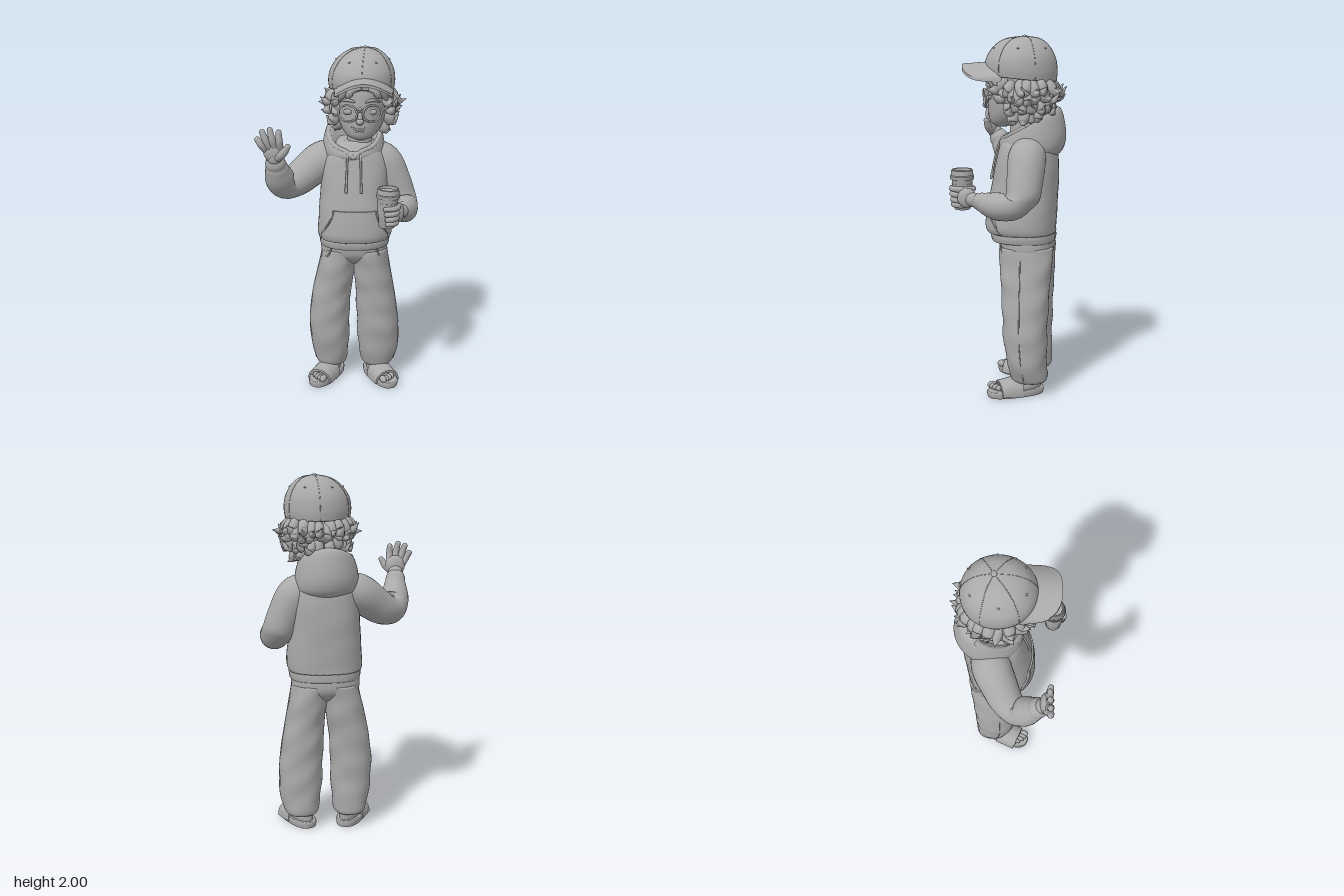
import * as THREE from 'three';
import { toCreasedNormals } from 'three/addons/utils/BufferGeometryUtils.js';

const V = (x, y, z) => new THREE.Vector3(x, y, z);
const clay = new THREE.MeshStandardMaterial({ color: 0xaaaaaa });
clay.name = 'clay grey';

// Skin a closed surface over rings of points, with both ends filled
function loft(rings) {
  const mid = r => { const c = r.reduce((s, p) => s.add(p), V(0, 0, 0)).divideScalar(r.length); return r.map(() => c); };
  const all = [mid(rings[0]), ...rings, mid(rings[rings.length - 1])];
  const n = rings[0].length, pos = [], idx = [];
  all.forEach(r => r.forEach(p => pos.push(p.x, p.y, p.z)));
  for (let i = 0; i < all.length - 1; i++) for (let j = 0; j < n; j++) {
    const a = i * n + j, c = i * n + (j + 1) % n;
    idx.push(a, a + n, c, a + n, c + n, c);
  }
  const g = new THREE.BufferGeometry();
  g.setAttribute('position', new THREE.Float32BufferAttribute(pos, 3));
  g.setIndex(idx);
  g.computeVertexNormals();
  return g;
}

// Catmull-Rom value at t (0..1) through rows of numbers
function rowAt(rows, t) {
  const m = rows.length - 1, i = Math.min(Math.floor(t * m), m - 1), f = t * m - i;
  const q = k => rows[Math.max(0, Math.min(m, k))];
  return rows[0].map((_, c) => {
    const [p0, p1, p2, p3] = [q(i - 1)[c], q(i)[c], q(i + 1)[c], q(i + 2)[c]];
    return p1 + 0.5 * f * (p2 - p0 + f * (2 * p0 - 5 * p1 + 4 * p2 - p3 + f * (3 * (p1 - p2) + p3 - p0)));
  });
}

// Stacked oval sections: rows of [y, centreX, centreZ, radiusX, radiusZ, forwardTilt]
function body(rows, { e = 2, steps = 30, seg = 40, fold = 0 } = {}) {
  const pw = v => Math.sign(v) * Math.pow(Math.abs(v), 2 / e), rings = [];
  for (let i = 0; i <= steps; i++) {
    const [y, cx, cz, rx, rz, tilt = 0] = rowAt(rows, i / steps);
    rings.push(Array.from({ length: seg }, (_, j) => {
      const a = j / seg * Math.PI * 2;
      const k = 1 + fold * Math.sin(y * 34 + 2.2 * Math.sin(a + cx * 9)) * Math.sin(a * 2 + y * 5);
      return V(cx + rx * k * pw(Math.cos(a)), y - tilt * Math.sin(a), cz + rz * k * pw(Math.sin(a)));
    }));
  }
  return loft(rings);
}

// Tapered tube along points of [x, y, z, radius], with rounded ends
function sweep(pts, steps = 14, seg = 10) {
  const curve = new THREE.CatmullRomCurve3(pts.map(p => V(p[0], p[1], p[2])));
  const fr = curve.computeFrenetFrames(steps, false), rings = [];
  const ring = (i, r, push) => {
    const c = curve.getPoint(i / steps).addScaledVector(fr.tangents[i], push);
    rings.push(Array.from({ length: seg }, (_, j) => {
      const a = -j / seg * Math.PI * 2;
      return c.clone().addScaledVector(fr.normals[i], r * Math.cos(a)).addScaledVector(fr.binormals[i], r * Math.sin(a));
    }));
  };
  const rad = i => Math.max(0.001, rowAt(pts.map(p => [p[3]]), i / steps)[0]);
  for (const k of [0.95, 0.6]) ring(0, rad(0) * Math.sqrt(1 - k * k), -rad(0) * k * 0.8);
  for (let i = 0; i <= steps; i++) ring(i, rad(i), 0);
  for (const k of [0.6, 0.95]) ring(steps, rad(steps) * Math.sqrt(1 - k * k), rad(steps) * k * 0.8);
  return loft(rings);
}

// Thin curved plate: f(u, v, layer), layer 1 is the outer face
function plate(f, nu = 28, nv = 10) {
  const rings = [];
  for (let i = 0; i <= nu; i++) {
    const r = [];
    for (let j = nv; j >= 0; j--) r.push(f(i / nu, j / nv, 1));
    for (let j = 0; j <= nv; j++) r.push(f(i / nu, j / nv, 0));
    rings.push(r);
  }
  return toCreasedNormals(loft(rings), 0.8);
}

export function createModel() {
  const model = new THREE.Group();
  let parent = model;
  const add = (name, geo) => { const m = new THREE.Mesh(geo, clay); m.name = name; parent.add(m); return m; };
  const group = name => { parent = new THREE.Group(); parent.name = name; model.add(parent); return parent; };
  const ball = (name, x, y, z, rx, ry, rz) => {
    const m = add(name, new THREE.SphereGeometry(1, 24, 16));
    m.position.set(x, y, z); m.scale.set(rx, ry, rz); return m;
  };
  let seed = 7;
  const rnd = () => (seed = (seed * 16807) % 2147483647) / 2147483647 - 0.5;

  // Sweatshirt
  group('sweatshirt');
  const torso = [[0.915, 0.09, -0.07, 0.205, 0.185], [0.96, 0.092, -0.063, 0.214, 0.192], [1.1, 0.09, -0.072, 0.203, 0.19],
    [1.22, 0.09, -0.085, 0.195, 0.182], [1.34, 0.09, -0.095, 0.19, 0.168], [1.42, 0.09, -0.1, 0.155, 0.15], [1.48, 0.09, -0.1, 0.09, 0.1]];
  add('torso', body(torso, { e: 2.4, fold: 0.006 }));
  add('hem', body([[0.868, 0.09, -0.075, 0.19, 0.168], [0.872, 0.09, -0.075, 0.198, 0.178], [0.9, 0.09, -0.072, 0.203, 0.182],
    [0.925, 0.09, -0.072, 0.2, 0.18]], { e: 2.4, steps: 12 }));
  const dense = Array.from({ length: 121 }, (_, i) => rowAt(torso, i / 120));
  const frontZ = (x, y) => {
    const [, cx, cz, rx, rz] = dense.find(r => r[0] >= y) || dense[0];
    return cz + rz * Math.pow(1 - Math.min(0.97, Math.abs(x - cx) / rx) ** 2.4, 1 / 2.4);
  };
  add('frontPocket', plate((u, v, s) => {
    const y = 1.105 - 0.185 * v;
    const w = 0.122 + 0.068 * Math.min(1, v / 0.75) ** 1.5;
    const x = 0.092 + (2 * u - 1) * w;
    return V(x, y, frontZ(x, y) + (s ? 0.01 : -0.02));
  }));
  for (const s of [-1, 1]) add('pocketEdge', sweep([0, 0.25, 0.5, 0.75].map(v => {
    const x = 0.092 + s * (0.118 + 0.068 * (v / 0.75) ** 1.5), y = 1.1 - 0.185 * v;
    return [x, y, frontZ(x, y) + 0.009, 0.004];
  })));
  // Hood lying behind the neck, with a rolled edge dipping to a point in front
  const hoodRim = [1.522, 0.083, -0.105, 0.152, 0.158, 0.088];
  add('hood', body([[1.345, 0.09, -0.11, 0.15, 0.15, 0], [1.375, 0.085, -0.12, 0.175, 0.172, 0.01], [1.43, 0.082, -0.12, 0.178, 0.186, 0.03],
    [1.495, 0.082, -0.112, 0.166, 0.176, 0.075], hoodRim, [1.51, 0.09, -0.095, 0.13, 0.13, 0.085],
    [1.44, 0.1, -0.085, 0.1, 0.1, 0.05]], { steps: 36 }));
  for (const s of [-1, 1]) add('hoodEdge', sweep([0, 0.3, 0.7, 1.1, 1.6, 2.1].map((d, i) => {
    const [y, cx, cz, rx, rz, tilt] = hoodRim;
    return [cx + s * rx * 0.96 * Math.sin(d), y - tilt * Math.cos(d) - (i ? 0.006 : 0.032), cz + rz * 0.97 * Math.cos(d) + (i ? 0 : 0.012), 0.014];
  })));
  for (const [x, d] of [[0.05, -0.006], [0.122, 0.006]]) {
    add('drawstring', sweep([1.42, 1.36, 1.3, 1.235].map((y, i) => [x + d * i / 3, y, frontZ(x, y) + 0.01, 0.006])));
    add('stringTip', sweep([1.24, 1.215].map(y => [x + d, y, frontZ(x, y) + 0.01, 0.008]), 4));
  }

  // Sleeves
  add('rightSleeve', sweep([[0.0, 1.37, -0.12, 0.1], [-0.1, 1.345, -0.108, 0.108], [-0.19, 1.28, -0.065, 0.1], [-0.265, 1.232, -0.025, 0.09],
    [-0.312, 1.242, 0.03, 0.085], [-0.331, 1.3, 0.08, 0.08], [-0.34, 1.36, 0.118, 0.063]], 30, 24));
  add('rightCuff', sweep([[-0.34, 1.365, 0.12, 0.058], [-0.345, 1.395, 0.138, 0.056]], 6, 24));
  add('leftSleeve', sweep([[0.18, 1.38, -0.11, 0.09], [0.25, 1.345, -0.11, 0.103], [0.315, 1.22, -0.105, 0.098], [0.355, 1.125, -0.09, 0.09],
    [0.372, 1.1, -0.03, 0.08], [0.37, 1.1, 0.05, 0.074], [0.362, 1.113, 0.1, 0.06]], 30, 24));
  add('leftCuff', sweep([[0.363, 1.115, 0.1, 0.052], [0.358, 1.12, 0.13, 0.05]], 6, 24));

  // Waving hand
  group('rightHand');
  add('wrist', sweep([[-0.346, 1.38, 0.13, 0.042], [-0.345, 1.43, 0.162, 0.042]], 6, 16));
  ball('palm', -0.347, 1.46, 0.172, 0.058, 0.06, 0.031);
  for (const [x0, x1, y1] of [[-0.392, -0.435, 1.535], [-0.367, -0.408, 1.576], [-0.34, -0.366, 1.588], [-0.314, -0.318, 1.574]])
    add('finger', sweep([[x0, 1.475, 0.175, 0.021], [(x0 * 0.5 + x1 * 0.5), (1.475 + y1) / 2, 0.192, 0.02], [x1, y1, 0.19, 0.016]]));
  add('thumb', sweep([[-0.33, 1.43, 0.175, 0.028], [-0.293, 1.46, 0.192, 0.023], [-0.268, 1.498, 0.2, 0.016]]));

  // Drink and the hand around it
  group('cup').position.set(0.268, 1.062, 0.243);
  parent.rotation.z = -0.03;
  const cup = [[0, 0], [0.042, 0], [0.045, 0.006], [0.057, 0.165], [0.064, 0.167], [0.066, 0.175], [0.066, 0.185], [0.061, 0.19],
    [0.058, 0.216], [0.054, 0.22], [0.049, 0.218], [0.046, 0.205], [0, 0.205]];
  add('cupAndLid', toCreasedNormals(new THREE.LatheGeometry(cup.map(p => new THREE.Vector2(...p)), 40), 0.6));
  add('cupBand', new THREE.CylinderGeometry(0.057, 0.051, 0.075, 40).translate(0, 0.105, 0));
  group('leftHand');
  add('wrist', sweep([[0.36, 1.118, 0.12, 0.04], [0.345, 1.13, 0.18, 0.038]], 6, 16));
  ball('palm', 0.337, 1.135, 0.205, 0.026, 0.055, 0.052);
  const around = (y, r, from, to, thick) => sweep([0, 1, 2, 3].map(i => {
    const a = from + (to - from) * i / 3;
    return [0.268 + r * Math.cos(a), y, 0.243 + r * Math.sin(a), thick * (1 - 0.08 * i)];
  }));
  [1.178, 1.147, 1.117, 1.09].forEach((y, i) => add('finger', around(y, 0.061 - i * 0.003, -0.2, 1.75 - i * 0.08, 0.0175)));
  add('thumb', around(1.175, 0.062, -0.4, -2.0, 0.018));

  // Trousers
  group('trousers');
  add('hips', body([[0.735, 0.09, -0.1, 0.08, 0.06], [0.77, 0.09, -0.098, 0.15, 0.115], [0.82, 0.088, -0.095, 0.192, 0.15], [0.9, 0.088, -0.09, 0.188, 0.155]], { e: 2.4 }));
  const legs = {
    right: [[0.08, -0.043, -0.125, 0.075, 0.088], [0.105, -0.046, -0.122, 0.094, 0.102], [0.2, -0.052, -0.11, 0.108, 0.112], [0.33, -0.056, -0.1, 0.118, 0.122],
      [0.46, -0.053, -0.098, 0.116, 0.128], [0.6, -0.035, -0.097, 0.113, 0.135], [0.72, -0.012, -0.097, 0.108, 0.145], [0.84, 0.01, -0.095, 0.105, 0.15]],
    left: [[0.08, 0.23, -0.125, 0.078, 0.088], [0.105, 0.231, -0.122, 0.098, 0.102], [0.2, 0.235, -0.11, 0.118, 0.112], [0.33, 0.231, -0.1, 0.123, 0.122],
      [0.46, 0.222, -0.098, 0.12, 0.128], [0.6, 0.207, -0.097, 0.112, 0.135], [0.72, 0.19, -0.097, 0.108, 0.145], [0.84, 0.172, -0.095, 0.105, 0.15]] };
  for (const [side, rows] of Object.entries(legs)) {
    const s = side === 'left' ? 1 : -1;
    add(side + 'Leg', body(rows, { e: 2.2, fold: 0.028, steps: 44 }));
    add(side + 'SideSeam', sweep(rows.slice(1).map(r => [r[1] + s * r[3] * 0.992, r[0], r[2] + 0.02, 0.003]), 30, 6));
    add(side + 'PocketSeam', sweep([[0.088 + s * 0.125, 0.87, 0.045, 0.005], [0.088 + s * 0.15, 0.81, 0.025, 0.005], [0.088 + s * 0.188, 0.785, -0.04, 0.005]]));
  }

  // Feet in open slides
  for (const s of [-1, 1]) {
    const foot = group(s > 0 ? 'leftFoot' : 'rightFoot');
    foot.position.set(s > 0 ? 0.25 : -0.073, 0, -0.048);
    foot.rotation.y = s * 0.45;
    add('sole', body([[0, 0, 0, 0.063, 0.154], [0.004, 0, 0, 0.069, 0.161], [0.03, 0, 0, 0.072, 0.165], [0.038, 0, 0, 0.067, 0.16]], { e: 2.5, steps: 9 }));
    add('foot', body([[0.03, 0, -0.02, 0.055, 0.126], [0.055, 0, -0.025, 0.057, 0.124], [0.08, 0, -0.05, 0.05, 0.098], [0.13, 0, -0.075, 0.042, 0.055]]));
    for (let i = 0; i < 5; i++)
      ball('toe', s * (-0.043 + i * 0.0225), 0.054, 0.125 - i * i * 0.003, i ? 0.0135 : 0.019, i ? 0.017 : 0.021, 0.027);
    add('strap', plate((u, v, l) => {
      const t = Math.PI * (1 - u), r = l ? 1 : 0.84;
      return V(0.076 * r * Math.cos(t), 0.012 + (0.097 - v * 0.02) * r * Math.sin(t) ** 0.8, -0.025 + 0.12 * v + 0.012 * Math.sin(t) * (v - 0.5));
    }));
  }

  // Head and face
  group('head');
  add('skull', body([[1.504, 0.122, 0.045, 0.03, 0.03], [1.528, 0.122, 0.025, 0.078, 0.082], [1.58, 0.124, -0.012, 0.116, 0.13], [1.65, 0.126, -0.045, 0.138, 0.165],
    [1.72, 0.126, -0.05, 0.143, 0.172], [1.8, 0.126, -0.05, 0.135, 0.16], [1.86, 0.126, -0.05, 0.08, 0.1]]));
  add('neck', new THREE.CylinderGeometry(0.068, 0.075, 0.18, 28).translate(0.115, 1.48, -0.07));
  ball('nose', 0.118, 1.62, 0.13, 0.021, 0.019, 0.024);
  add('noseBridge', sweep([[0.118, 1.69, 0.115, 0.011], [0.118, 1.63, 0.132, 0.014]], 6));
  add('smile', sweep([[0.073, 1.584, 0.105, 0.004], [0.098, 1.572, 0.117, 0.006], [0.13, 1.572, 0.118, 0.006], [0.162, 1.588, 0.106, 0.004]]));
  ball('lowerLip', 0.117, 1.561, 0.113, 0.024, 0.008, 0.009);
  for (const s of [-1, 1]) {
    const x = 0.118 + s * 0.066;
    ball('eye', x, 1.668, 0.1, 0.026, 0.016, 0.012);
    add('eyebrow', sweep([[x - s * 0.035, 1.725, 0.122, 0.006], [x, 1.735, 0.117, 0.009], [x + s * 0.04, 1.722, 0.095, 0.004]]));
    ball('ear', 0.126 + s * 0.14, 1.655, -0.06, 0.018, 0.038, 0.026);
    // Glasses
    const rim = add('glassesRim', new THREE.TorusGeometry(0.052, 0.006, 10, 36));
    rim.position.set(x, 1.665, 0.13); rim.rotation.set(0.08, s * 0.28, 0); rim.scale.y = 0.88;
    add('glassesArm', sweep([[x + s * 0.05, 1.68, 0.115, 0.006], [0.126 + s * 0.148, 1.685, 0.04, 0.006], [0.126 + s * 0.15, 1.675, -0.06, 0.006]]));
  }
  add('glassesBridge', sweep([[0.102, 1.672, 0.142, 0.005], [0.118, 1.68, 0.144, 0.005], [0.134, 1.672, 0.142, 0.005]], 6));

  // Tousled hair: a base mass with rows of curling locks, each [height, count, root reach, tip reach, face gap]
  group('hair');
  ball('hairBase', 0.125, 1.685, -0.085, 0.16, 0.135, 0.158);
  [[1.742, 17, 0.15, 0.233, 0.95], [1.7, 17, 0.148, 0.222, 1.0], [1.645, 15, 0.135, 0.195, 1.15], [1.595, 11, 0.105, 0.155, 1.3]].forEach(([y, n, r0, r1, gap], row) => {
    for (let i = 0; i < n; i++) {
      const a = Math.PI / 2 + gap + (Math.PI * 2 - 2 * gap) * (i + 0.5 * rnd()) / (n - 1);
      const drop = 0.03 * rnd(), big = 1 + 0.4 * rnd();
      const at = (r, dy, da, thick) => [0.125 + r * Math.cos(a + da), y + dy + drop, -0.075 + r * 0.98 * Math.sin(a + da), thick * big];
      const twist = 0.4 * rnd(), out = r1 + 0.04 * rnd(), lift = (row === 3 ? -0.05 : -0.025) + 0.05 * rnd();
      add('lock', sweep([at(r0 - 0.02, 0.02, 0, 0.022), at(r0 + 0.02, -0.01, 0, 0.032), at(r0 * 0.45 + out * 0.55, -0.045, twist / 2, 0.025), at(out, lift, twist, 0.002)], 10, 9));
    }
  });
  for (const s of [-1, 1]) {
    const cx = 0.135;
    [[0.06, 0.1, 1.745, 0.022], [0.09, 0.135, 1.715, 0.024], [0.12, 0.165, 1.735, 0.022]].forEach(([m, e, y, r], i) =>
      add('fringe', sweep([[cx + s * i * 0.03, 1.8, 0.105 - i * 0.012, 0.014], [cx + s * m, 1.79, 0.118 - i * 0.02, r], [cx + s * (m + e) / 2, 1.757, 0.108 - i * 0.022, r * 0.8], [cx + s * e, y, 0.085 - i * 0.02, 0.003]])));
    add('sideLock', sweep([[0.125 + s * 0.13, 1.73, 0.0, 0.02], [0.125 + s * 0.155, 1.68, 0.0, 0.024], [0.125 + s * 0.155, 1.62, -0.03, 0.018], [0.125 + s * 0.175, 1.585, -0.04, 0.002]]));
  }

  // Cap
  group('cap');
  const dome = [[1.77, 0.125, -0.06, 0.18, 0.193, -0.018], [1.82, 0.125, -0.06, 0.185, 0.198, -0.012], [1.88, 0.127, -0.06, 0.174, 0.187, 0],
    [1.94, 0.132, -0.064, 0.136, 0.15, 0], [1.978, 0.138, -0.072, 0.083, 0.095, 0], [1.991, 0.142, -0.08, 0.02, 0.022, 0]];
  add('crown', body(dome, { steps: 36, seg: 48 }));
  ball('button', 0.143, 1.99, -0.081, 0.016, 0.009, 0.016);
  for (let k = 0; k < 6; k++) {
    const on = (t, a, r) => {
      const [y, cx, cz, rx, rz, tilt] = rowAt(dome, t);
      return [cx + rx * Math.cos(a), y - tilt * Math.sin(a), cz + rz * Math.sin(a), r];
    };
    const a = Math.PI / 2 + k * Math.PI / 3;
    add('seam', sweep([0.02, 0.2, 0.4, 0.6, 0.8, 1].map(t => on(t, a, 0.0018)), 24, 6));
    const [x, y, z] = on(0.56, a + Math.PI / 6, 0);
    ball('eyelet', x, y, z, 0.007, 0.004, 0.007);
  }
  add('brim', plate((u, v, s) => {
    const t = 2 * u - 1, x = 0.137 + 0.164 * t;
    const z0 = -0.075 + 0.19 * Math.sqrt(1 - (0.86 * t) ** 2);
    const z1 = 0.035 + 0.222 * Math.pow(Math.max(0, 1 - Math.abs(t) ** 3), 1 / 3);
    return V(x, 1.856 - 0.012 * v - 0.078 * t * t - (s ? 0 : 0.015), z0 + (Math.max(z1, z0 + 0.01) - z0) * v);
  }, 40));
  return model;
}
